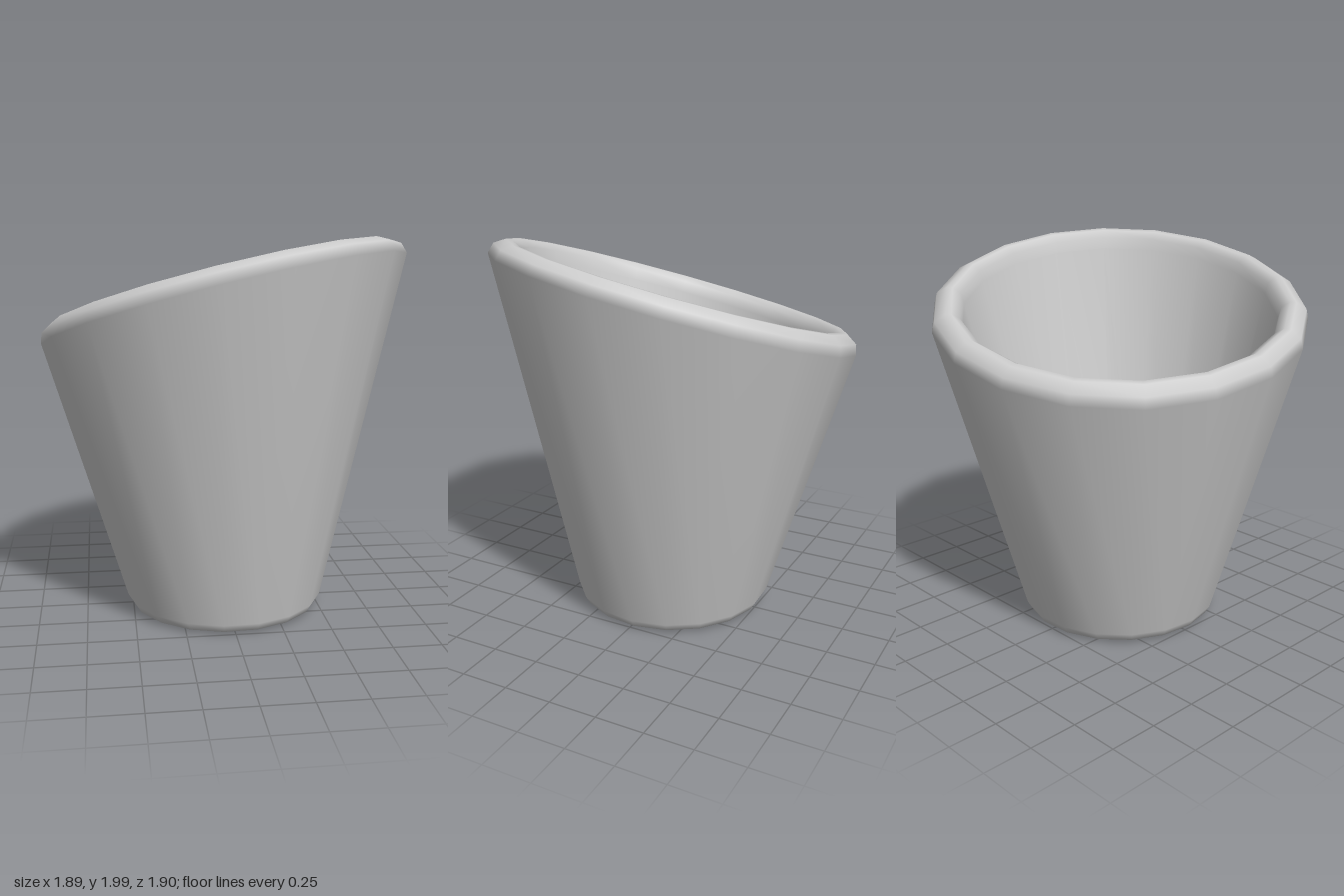
import * as THREE from 'three';

const SIDES = 18;
const START = THREE.MathUtils.degToRad(-3);
const RIM_HEIGHT = 1.65;

// The rim is a circular lip tipped towards the front left.
const TILT_DIRECTION = THREE.MathUtils.degToRad(40);
const TILT = THREE.MathUtils.degToRad(16.6);
const tiltAxis = new THREE.Vector3(Math.sin(TILT_DIRECTION), 0, -Math.cos(TILT_DIRECTION));

// Cross-section from the underside, up the outer wall, over the lip and down inside.
// Each entry is radius, height, and whether it belongs to the tipped rim
// (rim heights are measured from the rim centre).
const PROFILE = [
  [0, 0, false], [0.46, 0, false], [0.505, 0.018, false], [0.53, 0.06, false],
  [0.97, 0, true], [0.955, 0.055, true], [0.9, 0.09, true],
  [0.868, 0.09, true], [0.828, 0.06, true], [0.815, 0.0, true],
  [0.46, 0.21, false], [0.445, 0.175, false], [0.41, 0.16, false], [0, 0.16, false],
];

function ring([radius, height, tipped]) {
  return Array.from({ length: SIDES }, (_, i) => {
    const angle = START + (i / SIDES) * Math.PI * 2;
    const p = new THREE.Vector3(radius * Math.cos(angle), height, radius * Math.sin(angle));
    if (tipped) {
      p.applyAxisAngle(tiltAxis, -TILT);
      // keep the raised side towards the tilt direction
      const along = Math.cos(TILT_DIRECTION) * p.x + Math.sin(TILT_DIRECTION) * p.z;
      if (along * (p.y - height * Math.cos(TILT)) < 0) {
        p.set(radius * Math.cos(angle), height, radius * Math.sin(angle));
        p.applyAxisAngle(tiltAxis, TILT);
      }
      p.y += RIM_HEIGHT;
    }
    return p;
  });
}

// Joins consecutive rings; a ring of zero radius is a single centre point.
function skin(profile) {
  const positions = [];
  const index = [];
  const starts = profile.map((entry) => {
    const start = positions.length / 3;
    const points = entry[0] === 0 ? [new THREE.Vector3(0, entry[1], 0)] : ring(entry);
    points.forEach((p) => positions.push(p.x, p.y, p.z));
    return start;
  });
  for (let k = 0; k < profile.length - 1; k++) {
    const at = (row, i) => starts[row] + (profile[row][0] === 0 ? 0 : i % SIDES);
    for (let i = 0; i < SIDES; i++) {
      const a = at(k, i), b = at(k, i + 1), c = at(k + 1, i + 1), d = at(k + 1, i);
      if (c !== d) index.push(a, d, c);
      if (a !== b) index.push(a, c, b);
    }
  }
  const geometry = new THREE.BufferGeometry();
  geometry.setAttribute('position', new THREE.Float32BufferAttribute(positions, 3));
  geometry.setIndex(index);
  geometry.computeVertexNormals();
  return geometry;
}

export function createModel() {
  const group = new THREE.Group();
  group.name = 'slantedCup';
  const material = new THREE.MeshStandardMaterial({ color: 0xcccccc });

  const addPart = (name, from, to) => {
    const mesh = new THREE.Mesh(skin(PROFILE.slice(from, to)), material);
    mesh.name = name;
    group.add(mesh);
  };

  // Flat underside, then the shell with its rounded edges and inner floor.
  addPart('underside', 0, 2);
  addPart('cupShell', 1, PROFILE.length);
  return group;
}
